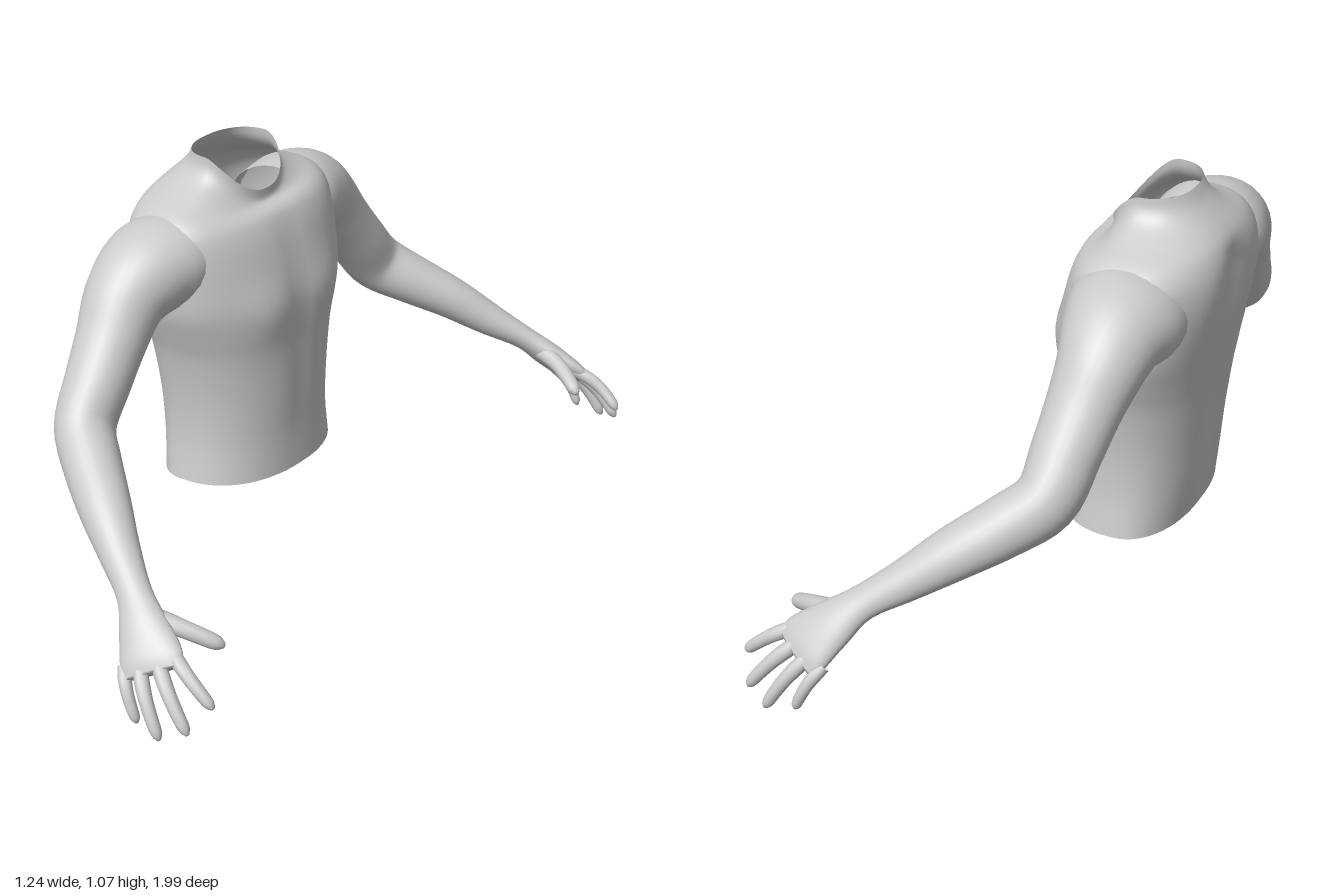
import * as THREE from 'three';

const skin = new THREE.MeshStandardMaterial({ color: 0xcccccc, side: THREE.DoubleSide });
const gauss = (d, w) => Math.exp(-(d * d) / (w * w));

// Smooth interpolation through rows of numbers, t in 0..1
function splineRow(rows, t) {
  const last = rows.length - 1;
  const i = Math.min(Math.floor(t * last), last - 1);
  const k = t * last - i;
  const at = (n) => rows[Math.max(0, Math.min(last, n))];
  return rows[i].map((p1, c) => {
    const p0 = at(i - 1)[c], p2 = at(i + 1)[c], p3 = at(i + 2)[c];
    return p1 + 0.5 * k * (p2 - p0 + k * (2 * p0 - 5 * p1 + 4 * p2 - p3 + k * (3 * (p1 - p2) + p3 - p0)));
  });
}

// Skin a list of closed rings; optionally close the far end, mirror across x
function skinRings(name, rings, { cap = false, mirror = false } = {}) {
  const n = rings[0].length;
  const pos = [], idx = [];
  const tri = (a, b, c) => (mirror ? idx.push(a, c, b) : idx.push(a, b, c));
  const add = (p) => pos.push(mirror ? -p.x : p.x, p.y, p.z);
  rings.forEach((ring) => ring.forEach(add));
  for (let i = 0; i < rings.length - 1; i++) {
    for (let j = 0; j < n; j++) {
      const a = i * n + j, b = i * n + ((j + 1) % n);
      tri(a, b, a + n);
      tri(b, b + n, a + n);
    }
  }
  if (cap) {
    const end = rings[rings.length - 1], first = (rings.length - 1) * n;
    const mid = new THREE.Vector3();
    end.forEach((p) => mid.addScaledVector(p, 1 / n));
    add(mid);
    for (let j = 0; j < n; j++) tri(first + j, first + ((j + 1) % n), first + n);
  }
  const geo = new THREE.BufferGeometry();
  geo.setAttribute('position', new THREE.Float32BufferAttribute(pos, 3));
  geo.setIndex(idx);
  geo.computeVertexNormals();
  const mesh = new THREE.Mesh(geo, skin);
  mesh.name = name;
  return mesh;
}

// Limb rows: x, y, z, half width, half thickness; width follows the palm
const palmAcross = new THREE.Vector3(0.35, -0.2, -0.95);
function limb(name, rows, steps, sides, mirror) {
  const centre = (t) => new THREE.Vector3(...splineRow(rows, t).slice(0, 3));
  const rings = [];
  for (let i = 0; i <= steps; i++) {
    const t = i / steps;
    const [, , , a, b] = splineRow(rows, t);
    const c = centre(t);
    const dir = centre(Math.min(1, t + 0.02)).sub(centre(Math.max(0, t - 0.02))).normalize();
    const wide = palmAcross.clone().addScaledVector(dir, -palmAcross.dot(dir)).normalize();
    const thick = dir.clone().cross(wide);
    rings.push(Array.from({ length: sides }, (_, j) => {
      const ang = (j / sides) * Math.PI * 2;
      return c.clone().addScaledVector(wide, a * Math.cos(ang)).addScaledVector(thick, b * Math.sin(ang));
    }));
  }
  return skinRings(name, rings, { cap: true, mirror });
}

// Torso: height, half width, front depth, back depth; open at neck and waist
function makeTorso() {
  const rows = [
    [0.19, 0.267, 0.207, 0.138], [0.30, 0.252, 0.205, 0.153], [0.42, 0.254, 0.209, 0.165],
    [0.55, 0.275, 0.211, 0.18], [0.62, 0.297, 0.212, 0.19], [0.70, 0.323, 0.21, 0.2],
    [0.78, 0.328, 0.198, 0.207], [0.86, 0.327, 0.178, 0.212], [0.91, 0.317, 0.157, 0.21],
    [0.95, 0.28, 0.135, 0.197], [0.98, 0.212, 0.115, 0.175], [1.01, 0.155, 0.106, 0.145],
    [1.04, 0.132, 0.102, 0.117], [1.07, 0.127, 0.102, 0.099],
  ];
  const steps = 52, sides = 64, rings = [];
  const round = (v, power) => Math.sign(v) * Math.abs(v) ** power;
  for (let i = 0; i <= steps; i++) {
    const [y, a, front, back] = splineRow(rows, i / steps);
    const dip = 0.1 * THREE.MathUtils.smoothstep(y, 0.9, 1.07);
    const fade = 1 - THREE.MathUtils.smoothstep(y, 0.86, 0.98);
    const low = THREE.MathUtils.smoothstep(y, 0.15, 0.5);
    const backPower = 0.88 - 0.2 * gauss(y - 0.83, 0.13);
    rings.push(Array.from({ length: sides }, (_, j) => {
      const ang = (j / sides) * Math.PI * 2;
      const c = Math.cos(ang);
      const x = a * round(Math.sin(ang), 0.88);
      let z = c > 0 ? front * round(c, 0.88) : back * round(c, backPower);
      const side = Math.abs(x);
      if (c > 0) {
        // chest muscles, breastbone groove
        z += c * fade * (0.016 * gauss(side - 0.13, 0.09) * gauss(y - 0.68, 0.085) - 0.006 * low * gauss(x, 0.035));
      } else {
        // spine groove, shoulder blades
        z -= c * fade * (0.024 * low * gauss(x, 0.05) - 0.01 * gauss(side - 0.17, 0.08) * gauss(y - 0.82, 0.1));
      }
      return new THREE.Vector3(x, y - dip * Math.max(0, c) ** 1.4, z);
    }));
  }
  return skinRings('torso', rings);
}

// Arm with palm, four fingers and thumb
function makeArm(label, mirror) {
  const arm = new THREE.Group();
  arm.name = label + 'Arm';
  arm.add(limb(label + 'ArmAndPalm', [
    [0.19, 0.825, -0.027, 0.142, 0.115], [0.28, 0.826, -0.033, 0.147, 0.123], [0.355, 0.81, -0.034, 0.128, 0.118],
    [0.425, 0.765, -0.035, 0.108, 0.103], [0.49, 0.69, -0.024, 0.094, 0.089], [0.56, 0.605, -0.012, 0.086, 0.084],
    [0.637, 0.51, 0.005, 0.078, 0.083], [0.7, 0.452, 0.08, 0.075, 0.073], [0.77, 0.39, 0.18, 0.067, 0.061],
    [0.83, 0.325, 0.275, 0.053, 0.048], [0.885, 0.268, 0.365, 0.045, 0.034], [0.925, 0.215, 0.425, 0.064, 0.035],
    [0.96, 0.168, 0.475, 0.081, 0.029], [0.978, 0.142, 0.498, 0.076, 0.018],
  ], 60, 28, mirror));
  const fingers = {
    IndexFinger: [[0.93, 0.185, 0.515], [0.95, 0.087, 0.655], 0.0175],
    MiddleFinger: [[0.958, 0.168, 0.493], [1.006, 0.03, 0.62], 0.018],
    RingFinger: [[0.98, 0.152, 0.455], [1.036, 0.007, 0.557], 0.0175],
    LittleFinger: [[0.99, 0.138, 0.415], [1.025, 0.02, 0.48], 0.0155],
    Thumb: [[0.9, 0.235, 0.405], [0.822, 0.172, 0.59], 0.023],
  };
  for (const [name, [base, tip, r]] of Object.entries(fingers)) {
    // slight bend at the joints, bulging away from the palm
    const rows = [[0, 1], [0.25, 1.08], [0.5, 1], [0.75, 0.92], [0.92, 0.78], [1, 0.25]].map(([k, s]) => {
      const bend = 0.012 * Math.sin(k * Math.PI);
      const p = base.map((v, c) => v + (tip[c] - v) * k);
      return [p[0] + bend, p[1] + bend, p[2], r * s, r * s];
    });
    arm.add(limb(label + name, rows, 15, 12, mirror));
  }
  return arm;
}

export function createModel() {
  const model = new THREE.Group();
  model.name = 'upperBody';
  const body = new THREE.Group();
  body.name = 'turnedBody';
  body.add(makeTorso(), makeArm('left', false), makeArm('right', true));
  body.rotation.y = THREE.MathUtils.degToRad(70);
  body.position.set(-0.32, 0, -0.177);
  model.add(body);
  return model;
}
